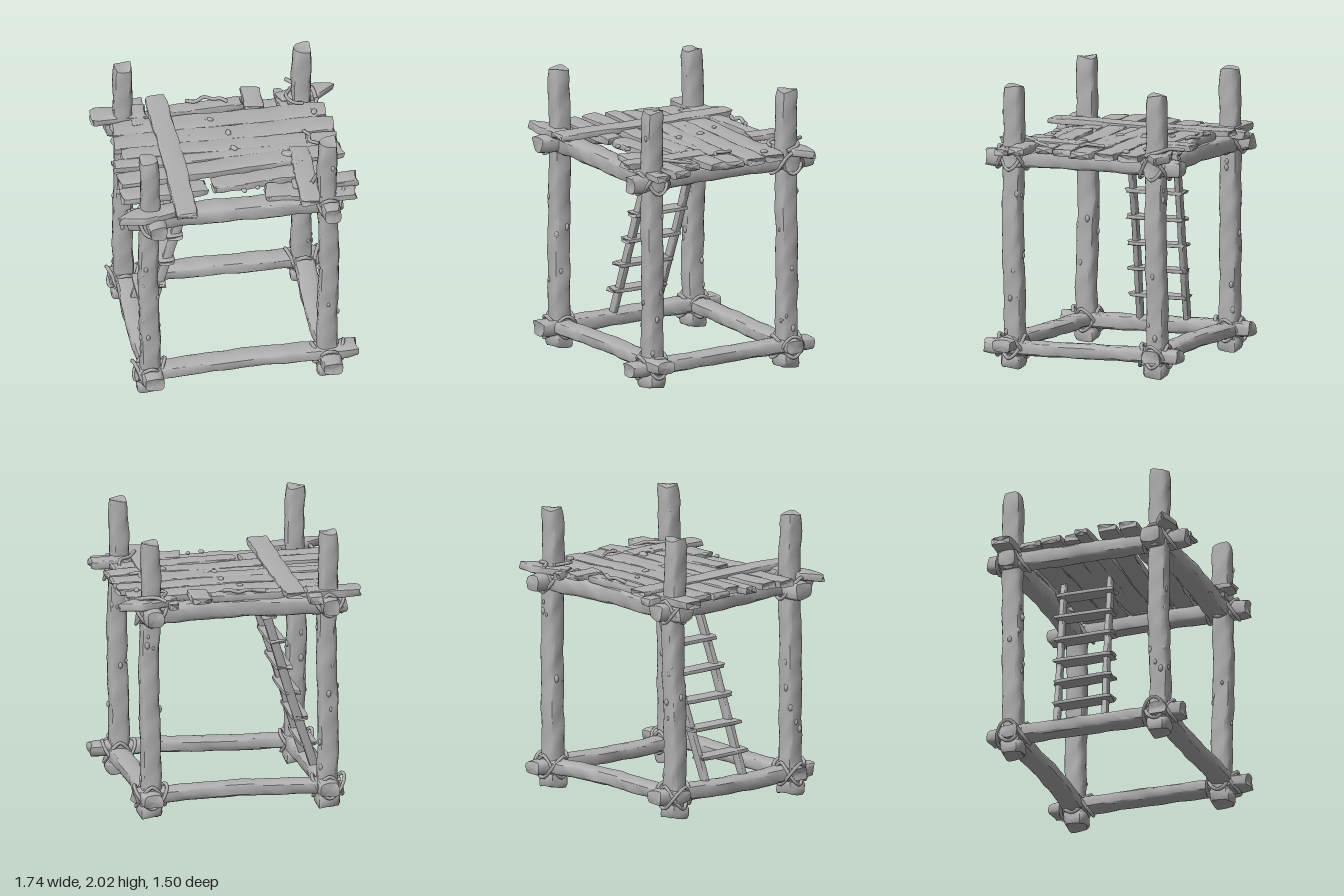
import * as THREE from 'three';
import { toCreasedNormals } from 'three/addons/utils/BufferGeometryUtils.js';

const V = (x, y, z) => new THREE.Vector3(x, y, z);

export function createModel() {
  const model = new THREE.Group();
  model.name = 'lookoutPlatform';
  const wood = new THREE.MeshStandardMaterial({ color: 0xb0b0b0 });
  wood.name = 'grey wood';

  let state = 7;
  const rnd = () => (state = (state * 16807) % 2147483647) / 2147483647;

  const add = (parent, name, geometry) => {
    const mesh = new THREE.Mesh(geometry, wood);
    mesh.name = name;
    parent.add(mesh);
    return mesh;
  };
  const section = (name) => {
    const g = new THREE.Group();
    g.name = name;
    model.add(g);
    return g;
  };

  // Rough-hewn timber from a to b; "square" sets how boxy the section is, "shape" scales the width along it
  function timber(parent, name, a, b, w, h, { square = 4, wear = 0.06, bend = 0.008, segs = 14, shape = () => 1 } = {}) {
    const geo = new THREE.CylinderGeometry(1, 1, 1, 16, segs);
    const pos = geo.attributes.position;
    const dir = b.clone().sub(a);
    const len = dir.length();
    dir.normalize();
    const ref = Math.abs(dir.y) > 0.7 ? V(0, 0, 1) : V(0, 1, 0);
    const side = dir.clone().cross(ref).normalize();
    const up = side.clone().cross(dir);
    const s = rnd() * 40;
    const round = (c) => Math.sign(c) * Math.pow(Math.abs(c), 2 / square);
    for (let i = 0; i < pos.count; i++) {
      const t = pos.getY(i) + 0.5;
      const r = Math.hypot(pos.getX(i), pos.getZ(i));
      const ang = Math.atan2(pos.getZ(i), pos.getX(i));
      const d = t * len;
      const rough = 1 + wear * (0.5 * Math.sin(d * 17 + s + 2 * Math.sin(ang + s)) +
        0.4 * Math.sin(d * 31 + 3 * ang + s * 2) + 0.3 * Math.sin(5 * ang + s + d * 7));
      const end = t < 0.001 || t > 0.999 ? 0.9 : 1;
      const x = round(Math.cos(ang)) * r * rough * end * w / 2 * shape(t) + bend * Math.sin(d * 5 + s);
      const z = round(Math.sin(ang)) * r * rough * end * h / 2 + bend * 0.6 * Math.sin(d * 4 + s * 3);
      const p = a.clone().addScaledVector(dir, d + (r > 0.5 ? 0.01 * Math.sin(ang * 2 + s) : 0))
        .addScaledVector(side, x).addScaledVector(up, z);
      pos.setXYZ(i, p.x, p.y, p.z);
    }
    return add(parent, name, toCreasedNormals(geo, 0.6));
  }

  // Small lump of bark or broken branch
  function knot(parent, x, y, z, r, sx = 1, sy = 1, sz = 1) {
    const m = add(parent, 'knot', new THREE.IcosahedronGeometry(r, 1));
    m.position.set(x, y, z);
    m.scale.set(sx, sy, sz);
    m.rotation.y = rnd() * 3;
  }

  const rope = (parent, name, pts, r, closed) => add(parent, name,
    new THREE.TubeGeometry(new THREE.CatmullRomCurve3(pts, closed), closed ? 48 : 24, r, 6, closed));

  // Corner posts with lumpy feet and knots
  const corners = [[-0.635, 0.54, 2.0], [0.63, 0.54, 1.985], [-0.635, -0.55, 1.99], [0.63, -0.55, 1.99]];
  const posts = section('posts');
  for (const [x, z, top] of corners) {
    timber(posts, 'post', V(x, 0.01, z), V(x, top, z), 0.14, 0.14,
      { square: 3.2, segs: 34, wear: 0.07, shape: (t) => 1.03 - 0.09 * t });
    timber(posts, 'postFoot', V(x, 0, z), V(x, 0.09, z), 0.17, 0.16, { segs: 4, wear: 0.1, bend: 0 });
    for (let i = 0; i < 16; i++) {
      const a = rnd() * Math.PI * 2;
      const y = 0.25 + rnd() * (i < 12 ? 1.1 : 1.6);
      knot(posts, x + Math.cos(a) * 0.068, y, z + Math.sin(a) * 0.068, 0.009 + rnd() * 0.009, 1, 1.6, 1);
    }
  }

  // Lower and upper frame beams crossing at the posts
  const frame = section('frame');
  const beam = { square: 3.6, segs: 24, wear: 0.07 };
  timber(frame, 'lowerFrontBeam', V(-0.73, 0.15, 0.545), V(0.83, 0.175, 0.545), 0.15, 0.095, beam);
  timber(frame, 'lowerBackBeam', V(-0.73, 0.155, -0.55), V(0.75, 0.155, -0.55), 0.15, 0.1, beam);
  timber(frame, 'lowerLeftBeam', V(0.63, 0.14, 0.74), V(0.63, 0.145, -0.73), 0.15, 0.1, beam);
  timber(frame, 'lowerRightBeam', V(-0.63, 0.145, 0.72), V(-0.63, 0.15, -0.72), 0.15, 0.11, beam);
  timber(frame, 'upperFrontBeam', V(-0.79, 0.0 + 1.47, 0.53), V(0.71, 1.48, 0.53), 0.16, 0.13, beam);
  timber(frame, 'upperBackBeam', V(-0.76, 1.475, -0.55), V(0.72, 1.475, -0.55), 0.14, 0.13, beam);
  timber(frame, 'upperLeftBeam', V(0.63, 1.48, 0.73), V(0.62, 1.48, -0.74), 0.13, 0.12, beam);
  timber(frame, 'upperRightBeam', V(-0.6, 1.48, 0.74), V(-0.64, 1.48, -0.72), 0.13, 0.12, beam);

  // Rope lashings weaving over one beam and under the other
  const lashings = section('lashings');
  for (const [x, z] of corners) {
    for (const y of [0.15, 1.48]) {
      for (const sign of [1, -1]) {
        const pts = [];
        for (let i = 0; i < 16; i++) {
          const a = i / 16 * Math.PI * 2;
          const r = 0.105 + 0.012 * Math.sin(a * 3 + x * 5) + 0.006 * sign;
          pts.push(V(x + Math.cos(a) * r, y + sign * 0.078 * Math.cos(2 * a), z + Math.sin(a) * r));
        }
        rope(lashings, 'lashing', pts, 0.013, true);
      }
    }
  }

  // Deck boards: x start, z start, x end, z end, width
  const deck = section('deck');
  const boards = [
    [-0.74, -0.38, 0.76, -0.38, 0.17], [-0.76, -0.22, 0.79, -0.21, 0.165],
    [-0.72, -0.08, 0.58, -0.065, 0.13], [0.55, -0.035, 0.79, -0.035, 0.17],
    [-0.8, 0.025, 0.56, 0.015, 0.1], [-0.79, 0.2, 0.8, 0.095, 0.145],
    [-0.8, 0.36, -0.2, 0.345, 0.14], [-0.15, 0.335, 0.72, 0.275, 0.14],
    [-0.33, -0.54, 0.2, -0.545, 0.1], [0.2, 0.48, 0.45, 0.5, 0.17],
  ];
  const flat = { square: 7, wear: 0.07, bend: 0.005, segs: 18 };
  boards.forEach(([x1, z1, x2, z2, w], i) => {
    const y = 1.55 + (i % 3) * 0.005;
    timber(deck, 'deckBoard', V(x1, y, z1), V(x2, y, z2), w, 0.055, flat);
  });

  // Cross boards laid over the deck
  timber(deck, 'crossBoard', V(-0.385, 1.58, -0.68), V(-0.385, 1.58, 0.7), 0.155, 0.045, flat);
  timber(deck, 'crossBoard', V(0.5, 1.58, 0.05), V(0.49, 1.575, 0.68), 0.14, 0.045, flat);
  timber(deck, 'crossBoard', V(0.28, 1.575, -0.68), V(0.27, 1.58, -0.45), 0.14, 0.045, flat);

  // Short boards pinned at the corners, some split to a point
  const leaf = { ...flat, square: 5, shape: (t) => t < 0.65 ? 0.65 + t * 0.55 : 1.0 - (t - 0.65) * 2.5 };
  timber(deck, 'cornerBoard', V(-0.48, 1.555, -0.56), V(-0.86, 1.555, -0.56), 0.15, 0.06, flat);
  timber(deck, 'cornerBoard', V(0.46, 1.555, -0.55), V(0.86, 1.555, -0.645), 0.16, 0.06, leaf);
  timber(deck, 'cornerBoard', V(-0.4, 1.555, 0.56), V(-0.86, 1.555, 0.65), 0.16, 0.06, leaf);
  timber(deck, 'cornerBoard', V(0.4, 1.555, 0.44), V(0.85, 1.555, 0.43), 0.13, 0.06, flat);
  timber(deck, 'cornerBoard', V(0.48, 1.54, 0.56), V(0.82, 1.54, 0.56), 0.11, 0.05, flat);
  timber(deck, 'cornerBoard', V(-0.55, 1.55, -0.4), V(-0.53, 1.54, -0.72), 0.1, 0.06, flat);
  timber(deck, 'cornerBoard', V(0.49, 1.55, -0.45), V(0.48, 1.54, -0.66), 0.07, 0.05, flat);

  // Splinters and knots on the deck
  for (const [x, z, r] of [[0.42, 0.11, 0.04], [0.46, 0.22, 0.035], [0.44, 0.32, 0.022], [0.06, -0.02, 0.025],
    [0.05, -0.2, 0.025], [0.68, -0.34, 0.025], [-0.36, 0.09, 0.022], [-0.42, -0.15, 0.025], [-0.05, -0.37, 0.02],
    [0.51, 0.55, 0.024], [0.05, 0.47, 0.022], [-0.4, -0.5, 0.02], [0.15, 0.45, 0.02]]) {
    knot(deck, x, 1.585, z, r, 1.2, 0.6, 0.8);
  }

  // Loose twigs and vines
  const vines = section('vines');
  rope(vines, 'backVine', [V(-0.19, 1.6, -0.59), V(-0.12, 1.6, -0.57), V(-0.06, 1.615, -0.59), V(0.0, 1.6, -0.58),
    V(0.06, 1.61, -0.56), V(0.1, 1.6, -0.53)], 0.014, false);
  rope(vines, 'cornerVine', [V(0.54, 1.6, -0.72), V(0.6, 1.61, -0.64), V(0.7, 1.6, -0.6), V(0.72, 1.57, -0.5)], 0.014, false);
  rope(vines, 'cornerVine', [V(0.55, 1.6, -0.6), V(0.51, 1.61, -0.52), V(0.55, 1.6, -0.45), V(0.62, 1.59, -0.44)], 0.012, false);
  rope(vines, 'frontVine', [V(0.52, 1.61, 0.5), V(0.58, 1.6, 0.4), V(0.65, 1.6, 0.35), V(0.68, 1.58, 0.25)], 0.013, false);
  rope(vines, 'deckVine', [V(0.57, 1.59, -0.13), V(0.6, 1.6, -0.06), V(0.59, 1.6, 0.0), V(0.65, 1.59, 0.03)], 0.012, false);

  // Leaning ladder: two rails and six rungs
  const ladder = section('ladder');
  const rail = { square: 5, wear: 0.04, bend: 0.004, segs: 16 };
  timber(ladder, 'ladderRail', V(-0.61, 0.17, 0.125), V(-0.21, 1.45, 0.015), 0.065, 0.042, rail);
  timber(ladder, 'ladderRail', V(-0.61, 0.17, -0.235), V(-0.21, 1.45, -0.325), 0.065, 0.042, rail);
  for (let i = 0; i < 6; i++) {
    const t = i / 5;
    const y = 0.36 + 0.97 * t;
    const x = -0.56 + 0.295 * t;
    timber(ladder, 'ladderRung', V(x, y, 0.165 - 0.095 * t), V(x, y + 0.002, -0.26 - 0.09 * t), 0.125, 0.034,
      { ...rail, segs: 8 });
  }
  return model;
}
